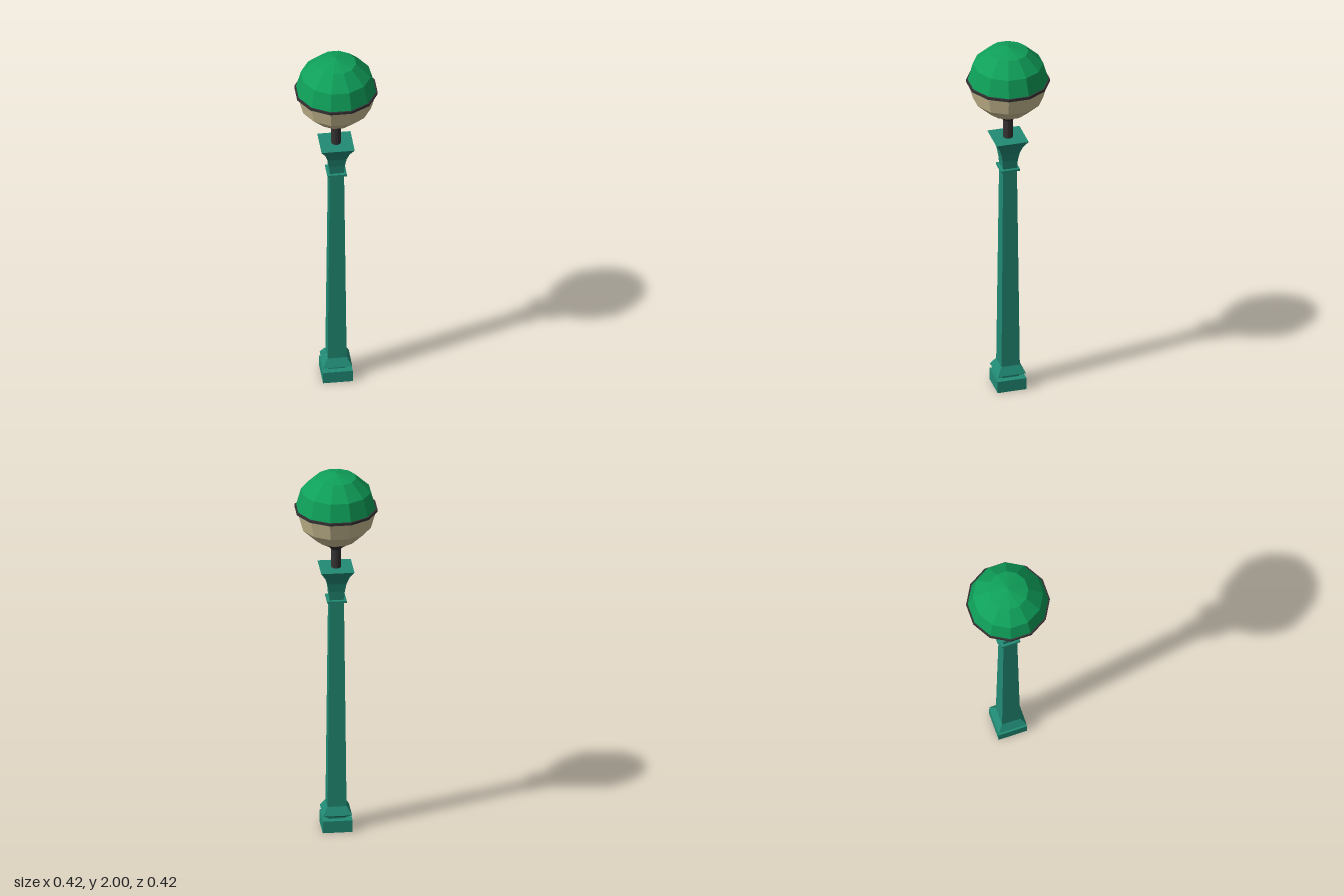
import * as THREE from 'three';

const SIDES = 12;

function paint(name, color) {
  const m = new THREE.MeshStandardMaterial({ color });
  m.name = name;
  return m;
}

// Faceted mesh: unshared corners give every face its own normal
function part(name, geometry, material) {
  const g = geometry.index ? geometry.toNonIndexed() : geometry;
  g.computeVertexNormals();
  const mesh = new THREE.Mesh(g, material);
  mesh.name = name;
  return mesh;
}

// Turned profile of [apothem, height] points, listed bottom to top, flats facing the axes
function turned(points, sides) {
  const k = 1 / Math.cos(Math.PI / sides);
  const profile = points.map(([r, y]) => new THREE.Vector2(r * k, y));
  return new THREE.LatheGeometry(profile, sides).rotateY(Math.PI / sides);
}

export function createModel() {
  const teal = paint('teal paint', 0x218b75);
  const green = paint('green glass', 0x0fa05a);
  const cream = paint('cream glass', 0xcdbf94);
  const black = paint('black metal', 0x353234);

  const lamp = new THREE.Group();
  lamp.name = 'streetLamp';

  // Square post
  lamp.add(
    part('plinth', turned([[0, 0], [0.077, 0], [0.077, 0.065], [0, 0.065]], 4), teal),
    part('baseMoulding', turned([[0.045, 0.064], [0.045, 0.072], [0.075, 0.092], [0.072, 0.098], [0.05, 0.135]], 4), teal),
    part('shaft', turned([[0.049, 0.13], [0.037, 1.3]], 4), teal),
    part('collar', turned([[0.03, 1.28], [0.05, 1.283], [0.05, 1.294], [0.03, 1.297]], 4), teal),
    part('capital', turned([[0.037, 1.295], [0.041, 1.345], [0.049, 1.39], [0.063, 1.43], [0.086, 1.468], [0, 1.468]], 4), teal)
  );

  // Stem and flared cup below the globe
  lamp.add(
    part('stem', turned([[0.024, 1.465], [0.024, 1.585]], SIDES), black),
    part('cup', turned([[0.024, 1.57], [0.035, 1.584], [0.06, 1.602], [0.09, 1.621], [0, 1.621]], SIDES), black)
  );

  // Globe in two halves: rows every 30 degrees
  const rows = [0, 1, 2, 3].map((i) => {
    const a = (i * Math.PI) / 6;
    return [0.202 * Math.cos(a), 0.2 * Math.sin(a)];
  });
  const upper = rows.map(([r, y]) => [r, 1.8 + y]);
  // The lower half stops at its last row, where the cup closes it
  const lower = rows.slice(0, 3).reverse().map(([r, y]) => [r, 1.8 - y]);
  lamp.add(
    part('globeTop', turned(upper, SIDES), green),
    part('globeBottom', turned([[0.07, 1.62], ...lower], SIDES), cream),
    part('globeBand', turned([[0.195, 1.793], [0.208, 1.793], [0.208, 1.807], [0.195, 1.807]], SIDES), black)
  );

  return lamp;
}
